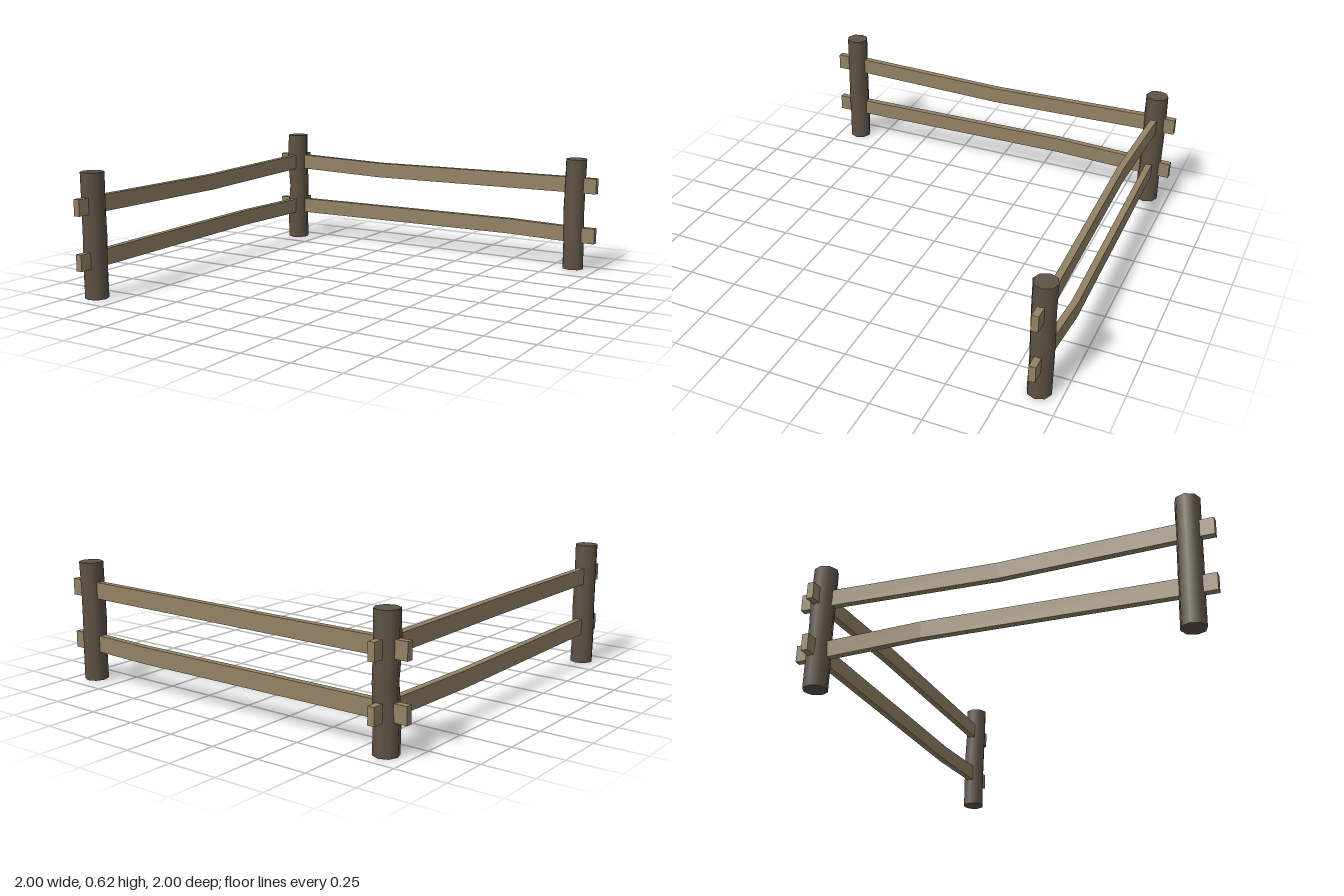
import * as THREE from 'three';

const wood = new THREE.MeshStandardMaterial({ color: 0x938264 });
wood.name = 'railWood';
wood.flatShading = true;
const bark = new THREE.MeshStandardMaterial({ color: 0x5e5245 });
bark.name = 'postWood';

// Eight-sided post whose rings drift a little; rings run from top to bottom as [dx, dz, scale]
function makePost(name, x, z, y0, y1, rings) {
  const n = rings.length - 1;
  const h = y1 - y0;
  const geo = new THREE.CylinderGeometry(0.058, 0.058, h, 8, n);
  const p = geo.attributes.position;
  for (let i = 0; i < p.count; i++) {
    const [dx, dz, s] = rings[Math.round((0.5 - p.getY(i) / h) * n)];
    p.setX(i, p.getX(i) * s + dx);
    p.setZ(i, p.getZ(i) * s + dz);
  }
  geo.computeBoundingSphere();
  const post = new THREE.Mesh(geo, bark);
  post.name = name;
  post.position.set(x, (y0 + y1) / 2, z);
  return post;
}

// Rail along x, straight through the posts and bent once between them
function makeRail(name, y, bendAt, side, lift) {
  const stations = [[-1, 0, 0], [-0.85, 0, 0], [bendAt, side, lift], [0.85, 0, 0], [1, 0, 0]];
  const geo = new THREE.BoxGeometry(2, 0.082, 0.033, 4, 1, 1);
  const p = geo.attributes.position;
  for (let i = 0; i < p.count; i++) {
    const [sx, dz, dy] = stations[Math.round((p.getX(i) + 1) * 2)];
    p.setXYZ(i, sx, p.getY(i) + dy, p.getZ(i) + dz);
  }
  geo.computeVertexNormals();
  const rail = new THREE.Mesh(geo, wood);
  rail.name = name;
  rail.position.y = y;
  return rail;
}

export function createModel() {
  const model = new THREE.Group();
  model.name = 'cornerFence';

  // Three posts
  model.add(
    makePost('cornerPost', -0.885, -0.89, 0, 0.622, [[0, 0, 1], [-0.003, 0, 1.04], [0.004, -0.003, 0.98], [-0.002, 0.002, 1.03], [0, 0, 1.02]]),
    makePost('rightPost', 0.88, -0.895, 0.008, 0.6, [[0.002, 0, 1], [0, 0.002, 0.98], [-0.004, 0, 1], [0, -0.002, 0.98], [0.002, 0, 1]]),
    makePost('frontPost', -0.885, 0.885, 0, 0.622, [[0, 0, 1], [0, 0, 0.98], [0.002, 0, 1], [-0.002, 0, 1], [0, 0, 1]]),
  );

  // Back pair of rails
  const back = new THREE.Group();
  back.name = 'backRails';
  back.add(
    makeRail('upperBackRail', 0.462, -0.3, 0.023, -0.009),
    makeRail('lowerBackRail', 0.194, 0.5, -0.023, 0.003),
  );
  back.position.z = -0.895;
  model.add(back);

  // Side pair of rails, turned a quarter so local x runs to -z and local z to +x
  const side = new THREE.Group();
  side.name = 'sideRails';
  side.add(
    makeRail('upperSideRail', 0.462, 0, 0.023, -0.007),
    makeRail('lowerSideRail', 0.194, 0.35, -0.02, 0.003),
  );
  side.rotation.y = Math.PI / 2;
  side.position.x = -0.885;
  model.add(side);

  return model;
}
